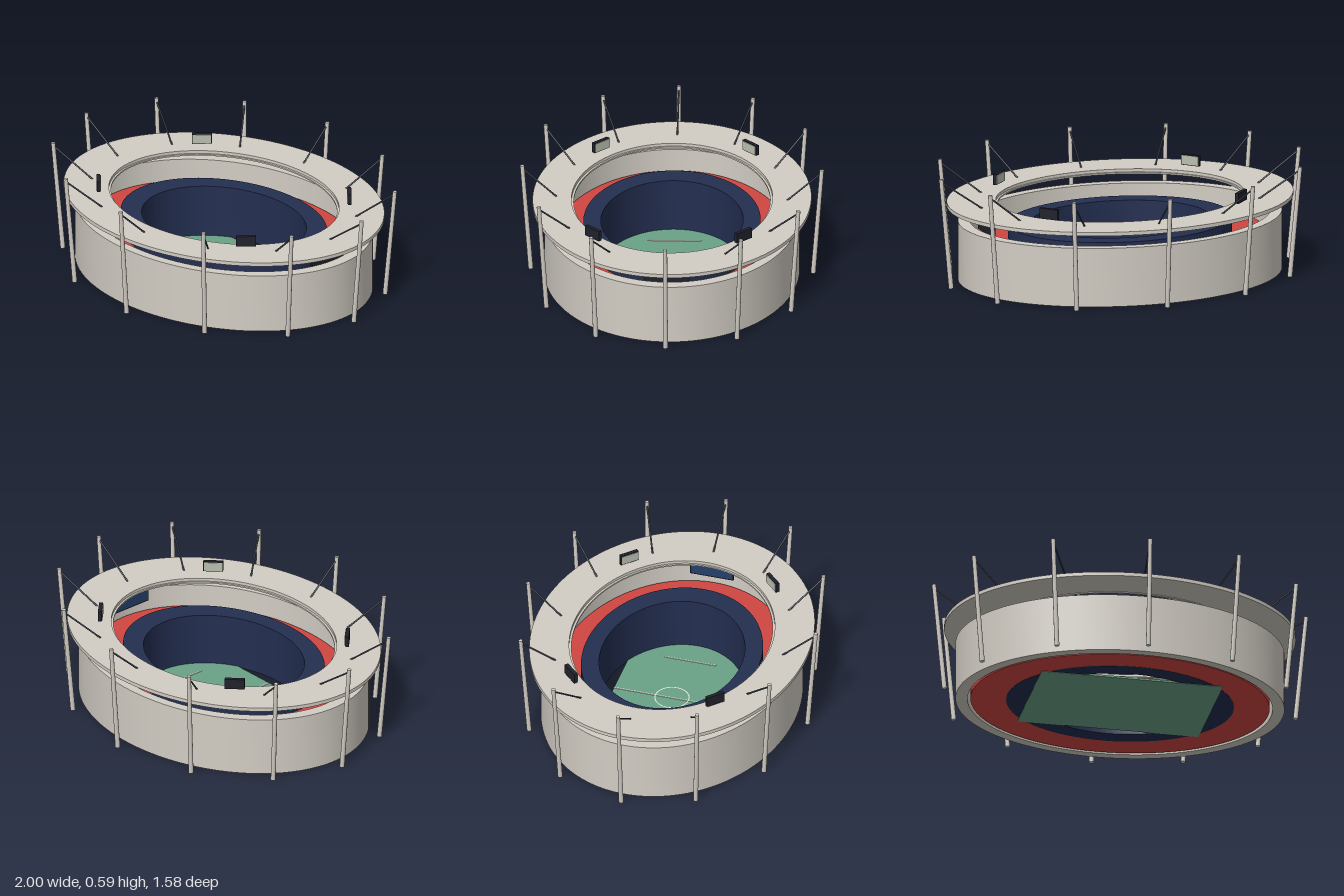
import * as THREE from 'three';
import { toCreasedNormals } from 'three/addons/utils/BufferGeometryUtils.js';

const mat = (name, color) => {
  const m = new THREE.MeshStandardMaterial({ color });
  m.name = name;
  return m;
};

export function createModel() {
  const model = new THREE.Group();
  model.name = 'stadium';
  const concrete = mat('concrete', 0xd2cdc4);
  const navy = mat('navy seats', 0x232e50);
  const red = mat('red seats', 0xd04640);
  const grass = mat('grass', 0x6aa386);
  const white = mat('line white', 0xe6e6e0);
  const dark = mat('dark casing', 0x20212b);
  const steel = mat('cable steel', 0x444a54);
  const screen = mat('screen blue', 0x24406a);
  const lamp = mat('lamp panel', 0xb9bfae);

  const add = (name, geometry, material, parent = model) => {
    const m = new THREE.Mesh(geometry, material);
    m.name = name;
    parent.add(m);
    return m;
  };

  // Elliptical ring with vertical walls between two heights
  const ring = (name, material, [ox, oz], [ix, iz], y0, y1) => {
    const s = new THREE.Shape();
    s.absellipse(0, 0, ox, oz, 0, Math.PI * 2);
    const hole = new THREE.Path();
    hole.absellipse(0, 0, ix, iz, 0, Math.PI * 2, true);
    s.holes.push(hole);
    let g = new THREE.ExtrudeGeometry(s, { depth: y1 - y0, bevelEnabled: false, curveSegments: 64 });
    g.rotateX(-Math.PI / 2);
    g.translate(0, y0, 0);
    g = toCreasedNormals(g, 0.6);
    return add(name, g, material);
  };

  // Straight round bar between two points
  const bar = (name, a, b, rTop, rBottom, material, parent) => {
    const dir = b.clone().sub(a);
    const m = add(name, new THREE.CylinderGeometry(rTop, rBottom, dir.length(), 10), material, parent);
    m.position.copy(a).add(b).multiplyScalar(0.5);
    m.quaternion.setFromUnitVectors(new THREE.Vector3(0, 1, 0), dir.normalize());
    return m;
  };

  const box = (name, size, pos, material, parent) => {
    const m = add(name, new THREE.BoxGeometry(...size), material, parent);
    m.position.set(...pos);
    return m;
  };

  // Bowl
  ring('outerWall', concrete, [0.863, 0.664], [0.8, 0.615], 0, 0.315);
  ring('upperSeating', red, [0.785, 0.602], [0.595, 0.46], 0.003, 0.2);
  ring('lowerSeating', navy, [0.597, 0.461], [0.475, 0.37], 0.002, 0.29);

  // Roof with a narrow inner lip
  ring('roof', concrete, [0.922, 0.725], [0.66, 0.523], 0.397, 0.417);
  ring('roofLip', concrete, [0.664, 0.526], [0.65, 0.511], 0.393, 0.401);

  // Pitch and markings
  box('pitch', [0.96, 0.01, 0.63], [0, 0.005, 0], grass);
  box('halfwayLine', [0.007, 0.003, 0.63], [0, 0.0115, 0], white);
  for (const s of [-1, 1]) box('penaltyLine', [0.006, 0.003, 0.28], [s * 0.335, 0.0115, 0], white);
  const circle = add('centreCircle', new THREE.RingGeometry(0.086, 0.092, 48), white);
  circle.rotation.x = -Math.PI / 2;
  circle.position.y = 0.0135;

  // Leaning masts with stay cables to the roof
  for (let i = 0; i < 12; i++) {
    const t = (i * Math.PI) / 6;
    const at = (rx, y, rz) => new THREE.Vector3(rx * Math.cos(t), y, rz * Math.sin(t));
    const mast = new THREE.Group();
    mast.name = 'mast';
    model.add(mast);
    bar('mastPole', at(0.932, 0.001, 0.735), at(0.988, 0.591, 0.78), 0.011, 0.013, concrete, mast);
    bar('mastCable', at(0.982, 0.572, 0.775), at(0.76, 0.415, 0.6), 0.0045, 0.0045, steel, mast);
  }

  // Floodlight boxes above the roof, facing the pitch
  for (const sx of [-1, 1]) {
    for (const sz of [-1, 1]) {
      const light = new THREE.Group();
      light.name = 'floodlight';
      light.position.set(sx * 0.53, 0.463, sz * 0.39);
      light.rotation.y = Math.atan2(-sx, -sz);
      model.add(light);
      box('floodlightCasing', [0.104, 0.056, 0.02], [0, 0, 0], dark, light);
      box('floodlightPanel', [0.096, 0.048, 0.004], [0, 0, 0.011], lamp, light);
    }
  }

  // Scoreboard between bowl and roof
  box('scoreboard', [0.014, 0.12, 0.235], [0.735, 0.337, 0], dark);
  box('scoreboardScreen', [0.004, 0.104, 0.219], [0.727, 0.337, 0], screen);

  return model;
}
